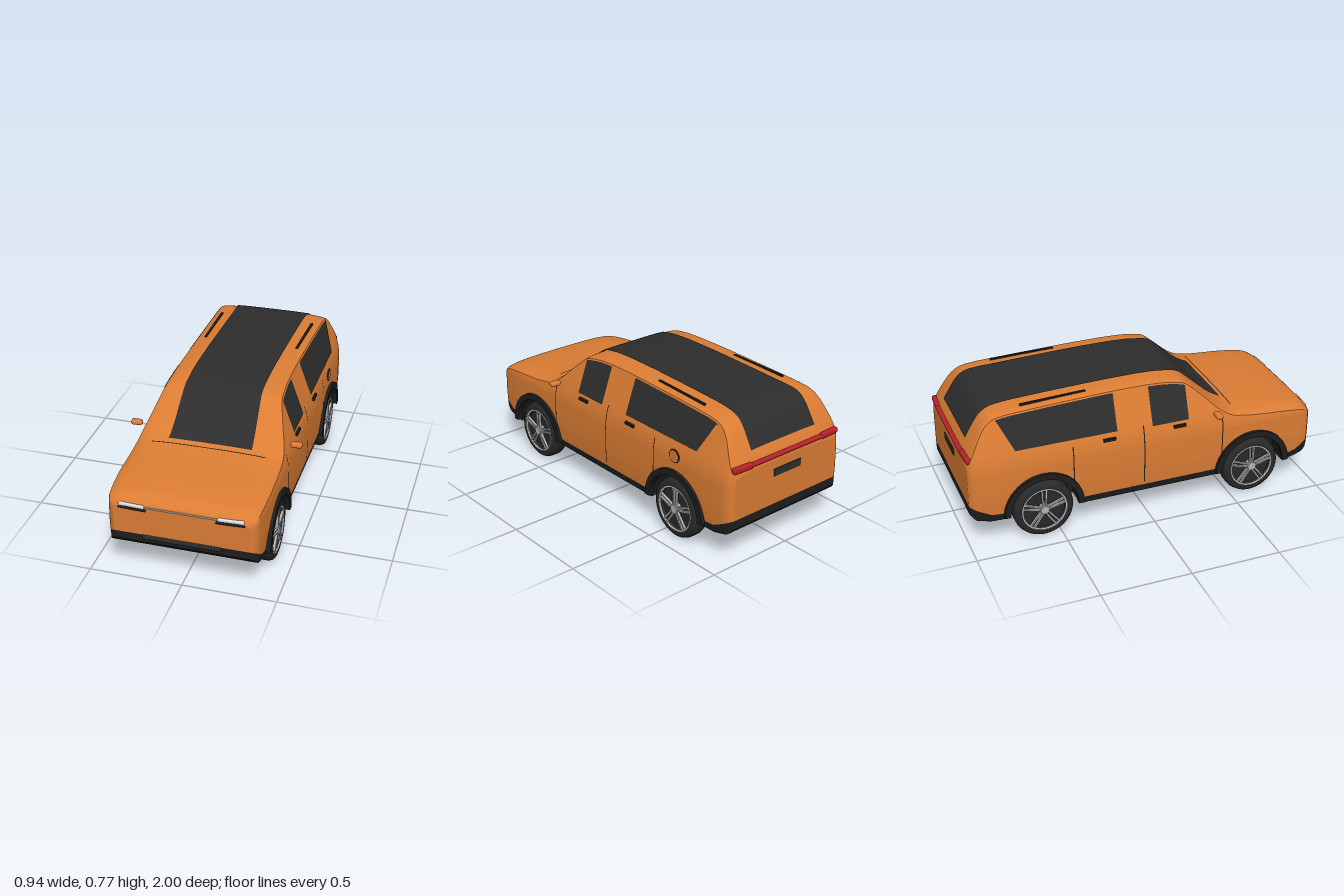
import * as THREE from 'three';
import { toCreasedNormals } from 'three/addons/utils/BufferGeometryUtils.js';
import { RoundedBoxGeometry } from 'three/addons/geometries/RoundedBoxGeometry.js';

const mat = (name, color, side = THREE.FrontSide) => {
  const m = new THREE.MeshStandardMaterial({ color, side });
  m.name = name;
  return m;
};
const M = {
  paint: mat('orange paint', 0xdc7d34),
  glass: mat('dark glass', 0x2d2d2d, THREE.DoubleSide),
  cladding: mat('black cladding', 0x1e1e1e, THREE.DoubleSide),
  tyre: mat('tyre rubber', 0x292929),
  alloy: mat('alloy', 0xb4b4b8),
  lamp: mat('headlight', 0xdcdcdc),
  red: mat('tail light', 0xb8222a),
};

// Piecewise linear lookup in [key, value] pairs with rising keys
const look = (pts, k) => {
  if (k <= pts[0][0]) return pts[0][1];
  for (let i = 1; i < pts.length; i++) {
    const [k0, v0] = pts[i - 1], [k1, v1] = pts[i];
    if (k <= k1) return v0 + (v1 - v0) * (k - k0) / (k1 - k0);
  }
  return pts[pts.length - 1][1];
};

// Body profiles: roof line, half width by height, plan taper, lower edges
const END = 0.99;
const ROOF = [[-0.99, 0.5], [-0.98, 0.54], [-0.95, 0.59], [-0.88, 0.705], [-0.83, 0.737], [-0.75, 0.747], [-0.5, 0.757],
  [-0.2, 0.766], [0, 0.767], [0.12, 0.762], [0.24, 0.742], [0.33, 0.66], [0.42, 0.58], [0.49, 0.54],
  [0.6, 0.523], [0.8, 0.507], [0.9, 0.494], [0.95, 0.482], [0.98, 0.463], [0.99, 0.445]];
const WIDTH = [[0.15, 0.395], [0.2, 0.405], [0.3, 0.41], [0.45, 0.408], [0.5, 0.4], [0.54, 0.388], [0.74, 0.315], [0.78, 0.3]];
const TAPER = [[-0.99, 0.88], [-0.982, 0.93], [-0.95, 0.97], [-0.88, 0.99], [-0.8, 1], [0.75, 1],
  [0.85, 0.987], [0.95, 0.965], [0.98, 0.93], [0.99, 0.87]];
const FLOOR = [[-0.99, 0.2], [-0.96, 0.168], [-0.88, 0.15], [0.82, 0.15], [0.9, 0.162], [0.95, 0.18], [0.99, 0.225]];
const SEAM = [[-0.99, 0.25], [-0.95, 0.23], [-0.88, 0.195], [-0.82, 0.19], [0.84, 0.19], [0.9, 0.205], [0.95, 0.24], [0.99, 0.268]];
const WHEELS = [0.62, -0.595], AXLE = 0.17, ARCH = 0.2;

const roofY = z => {
  const d = Math.min(0.025, END - Math.abs(z));
  return [-1, -0.5, 0, 0.5, 1].reduce((s, k) => s + look(ROOF, z + k * d), 0) / 5;
};
const crown = z => look([[0.52, 0.045], [0.66, 0.026]], roofY(z));
const edgeY = z => roofY(z) - crown(z);
const sideX = (z, y) => look(WIDTH, y) * look(TAPER, z);
const topY = (z, x) => {
  const t = Math.min(1, Math.abs(x) / sideX(z, edgeY(z)));
  return edgeY(z) + crown(z) * Math.cbrt(1 - t ** 3);
};
const archY = z => {
  const c = WHEELS.find(w => Math.abs(z - w) < ARCH);
  return c === undefined ? 0 : AXLE + Math.sqrt(ARCH ** 2 - (z - c) ** 2);
};

// Stations along the car, doubled at the arch edges
const stations = [-END, -0.986, -0.97, 0.97, 0.986, END];
for (let i = -48; i <= 48; i++) stations.push(i * 0.02);
for (const w of WHEELS) for (const s of [-1, 1]) for (const r of [ARCH, 0.1997, 0.196, 0.19]) stations.push(w + s * r);
stations.sort((a, b) => a - b);

// Surface through rows of points; rows run along u, columns along v
function loft(rows, crease = 0.6) {
  const n = rows[0].length, index = [];
  for (let i = 0; i < rows.length - 1; i++) for (let j = 0; j < n - 1; j++) {
    const a = i * n + j, b = a + n;
    index.push(a, a + 1, b, a + 1, b + 1, b);
  }
  const g = new THREE.BufferGeometry();
  g.setAttribute('position', new THREE.Float32BufferAttribute(rows.flat(2), 3));
  g.setIndex(index);
  return toCreasedNormals(g, crease);
}
const steps = (n, f) => Array.from({ length: n + 1 }, (_, i) => f(i / n));

// Painted cross-section from the right sill over the roof to the left sill
function section(z) {
  const low = Math.max(look(SEAM, z), archY(z)), ye = edgeY(z), xe = sideX(z, ye);
  const half = steps(14, t => { const y = low + (ye - low) * t; return [sideX(z, y), y, z]; });
  for (let k = 1; k <= 10; k++) {
    const a = k / 10 * Math.PI / 2;
    half.push([k === 10 ? 0 : xe * Math.cos(a) ** (2 / 3), ye + crown(z) * Math.sin(a) ** (2 / 3), z]);
  }
  return [...half, ...half.slice(0, -1).reverse().map(([x, y]) => [-x, y, z])];
}

export function createModel() {
  const car = new THREE.Group();
  car.name = 'car';
  const add = (name, geo, material, x = 0, y = 0, z = 0, parent = car) => {
    const m = new THREE.Mesh(geo, material);
    m.name = name;
    m.position.set(x, y, z);
    parent.add(m);
    return m;
  };
  const box = (name, w, h, d, material, x, y, z, parent) => add(name, new THREE.BoxGeometry(w, h, d), material, x, y, z, parent);

  // Painted shell, lower cladding and belly
  add('bodyShell', loft(stations.map(section)), M.paint);
  for (const s of [1, -1]) add('lowerCladding', loft(stations.map(z => {
    const top = Math.max(look(SEAM, z), archY(z)), low = Math.max(look(FLOOR, z), archY(z));
    return steps(3, t => { const y = low + (top - low) * t; return [s * sideX(z, y), y, z]; });
  })), M.cladding);
  add('belly', loft(stations.map(z => {
    const y = look(FLOOR, z), x = archY(z) ? 0.28 : sideX(z, y);
    return [[-x, y, z], [x, y, z]];
  })), M.cladding);

  // Front and rear faces
  for (const z of [END, -END]) {
    const low = look(FLOOR, z), top = look(SEAM, z), a = sideX(z, low), b = sideX(z, top);
    const outline = pts => new THREE.ShapeGeometry(new THREE.Shape(pts.map(p => new THREE.Vector2(p[0], p[1]))));
    const turn = z > 0 ? 0 : Math.PI;
    add('endPanel', outline(section(z)), M.paint, 0, 0, z).rotation.y = turn;
    add('bumperCladding', outline([[-a, low], [a, low], [b, top], [-b, top]]), M.cladding, 0, 0, z).rotation.y = turn;
  }

  // Windscreen, roof glass and rear screen in one strip
  const strip = (z0, z1, half, lift) => loft(
    [z0, ...stations.filter(z => z > z0 && z < z1), z1].map(z => steps(16, t => {
      const x = half(z) * (1 - 2 * t);
      return [x, topY(z, x) + lift, z];
    })));
  add('roofGlass', strip(-0.955, 0.49, z => look([[-0.95, 0.226], [-0.7, 0.213], [0.2, 0.21], [0.49, 0.227]], z), 0.006), M.glass);
  add('bonnetSeam', strip(0.517, 0.523, () => 0.31, 0.003), M.cladding);

  // Side windows follow the body side
  const sidePatch = (s, front, rear, y0, y1, lift) => loft(steps(32, u => steps(8, v => {
    const zf = front[0] + (front[1] - front[0]) * v, zr = rear[0] + (rear[1] - rear[0]) * v;
    const z = zf + (zr - zf) * u, y = Math.min(y0 + (y1 - y0) * v, edgeY(z));
    return [s * (sideX(z, y) + lift), y, z];
  })));

  for (const s of [1, -1]) {
    add('frontWindow', sidePatch(s, [0.235, 0.235], [0.025, 0.025], 0.537, 0.742, 0.004), M.glass);
    add('rearWindow', sidePatch(s, [-0.175, -0.175], [-0.735, -0.83], 0.547, 0.742, 0.004), M.glass);
    // Door seams, handles, mirrors and roof rails
    for (const [z, y0, y1] of [[0.432, 0.28, 0.51], [-0.027, 0.21, 0.55], [-0.427, 0.31, 0.51]])
      add('doorSeam', sidePatch(s, [z + 0.003, z + 0.003], [z - 0.003, z - 0.003], y0, y1, 0.003), M.cladding);
    for (const z of [0.18, -0.222]) box('doorHandle', 0.016, 0.015, 0.07, M.cladding, s * 0.4, 0.511, z);
    add('mirror', new RoundedBoxGeometry(0.062, 0.028, 0.038, 3, 0.012), M.paint, s * 0.441, 0.554, 0.387);
    const rail = box('roofRail', 0.013, 0.014, 0.36, M.cladding, s * 0.272, 0.749, -0.49);
    rail.rotation.set(-0.025, -s * 0.02, 0);

    for (const wz of WHEELS) {
      // Wheel arch flare and well
      const ring = new THREE.Shape();
      ring.absarc(0, 0, 0.222, 0, Math.PI, false);
      ring.absarc(0, 0, 0.188, Math.PI, 0, true);
      const flare = new THREE.ExtrudeGeometry(ring, { depth: 0.03, bevelEnabled: false, curveSegments: 28 });
      add('archFlare', toCreasedNormals(flare, 0.6), M.cladding, s > 0 ? 0.396 : -0.426, AXLE, wz).rotation.y = Math.PI / 2;
      add('wheelWell', loft(steps(24, t => [0.28, 0.405].map(x =>
        [s * x, AXLE + ARCH * Math.sin(t * Math.PI), wz + ARCH * Math.cos(t * Math.PI)]))), M.cladding);
      add('wellWall', new THREE.CircleGeometry(0.202, 24, 0, Math.PI), M.cladding, s * 0.28, 0.15, wz).rotation.y = Math.PI / 2;

      // Wheel, axis along local y pointing outwards
      const wheel = new THREE.Group();
      wheel.name = 'wheel';
      wheel.position.set(s * 0.363, 0.166, wz);
      wheel.rotation.z = -s * Math.PI / 2;
      car.add(wheel);
      const profile = [[0.01, -0.047], [0.145, -0.047], [0.16, -0.038], [0.166, -0.022], [0.166, 0.022], [0.16, 0.038],
        [0.148, 0.047], [0.126, 0.047], [0.12, 0.02], [0.001, 0.02]].map(p => new THREE.Vector2(...p));
      add('tyre', toCreasedNormals(new THREE.LatheGeometry(profile, 40), 0.7), M.tyre, 0, 0, 0, wheel);
      add('rim', new THREE.TorusGeometry(0.122, 0.006, 8, 40), M.alloy, 0, 0.044, 0, wheel).rotation.x = Math.PI / 2;
      add('hub', new THREE.CylinderGeometry(0.024, 0.028, 0.034, 20), M.alloy, 0, 0.038, 0, wheel);
      for (let k = 0; k < 5; k++) {
        const pivot = new THREE.Group();
        pivot.name = 'spokePair';
        // One pair points straight up
        pivot.rotation.y = s * Math.PI / 2 + Math.PI + k * Math.PI * 2 / 5;
        if (s > 0) pivot.rotation.y += Math.PI;
        pivot.rotation.y += s > 0 ? Math.PI : 0;
        wheel.add(pivot);
        for (const d of [-1, 1]) box('spoke', 0.009, 0.014, 0.1, M.alloy, d * 0.01, 0.042, 0.072, pivot).rotation.y = d * 0.04;
      }
    }

    // Headlights with dark trim, and tail lights
    const lamp = add('headlight', new RoundedBoxGeometry(0.137, 0.02, 0.03, 3, 0.008), M.lamp, s * 0.259, 0.435, 0.983);
    lamp.rotation.y = s * 0.05;
    add('headlightTrim', new RoundedBoxGeometry(0.15, 0.014, 0.026, 2, 0.006), M.cladding, s * 0.257, 0.417, 0.984).rotation.y = s * 0.05;
    add('tailLight', new RoundedBoxGeometry(0.125, 0.032, 0.03, 3, 0.01), M.red, s * 0.308, 0.522, -0.98).rotation.y = -s * 0.05;
  }

  // Front strip, grille, rear light bar and number plate recess
  box('frontLightStrip', 0.4, 0.006, 0.02, M.lamp, 0, 0.433, 0.986);
  add('grilleBar', new RoundedBoxGeometry(0.416, 0.025, 0.024, 2, 0.006), M.glass, 0, 0.256, 0.986);
  add('rearLightBar', new RoundedBoxGeometry(0.52, 0.018, 0.03, 2, 0.007), M.red, 0, 0.524, -0.985);
  box('plateRecess', 0.19, 0.042, 0.008, M.glass, 0, 0.43, -0.99);

  // Fuel cap outline on the left flank
  const cap = add('fuelCap', new THREE.TorusGeometry(0.034, 0.004, 8, 28), M.cladding, 0.407, 0.47, -0.588);
  cap.rotation.y = Math.PI / 2;
  const lid = add('fuelLid', new THREE.CylinderGeometry(0.033, 0.033, 0.01, 28), M.paint, 0.406, 0.47, -0.588);
  lid.rotation.z = Math.PI / 2;
  return car;
}
